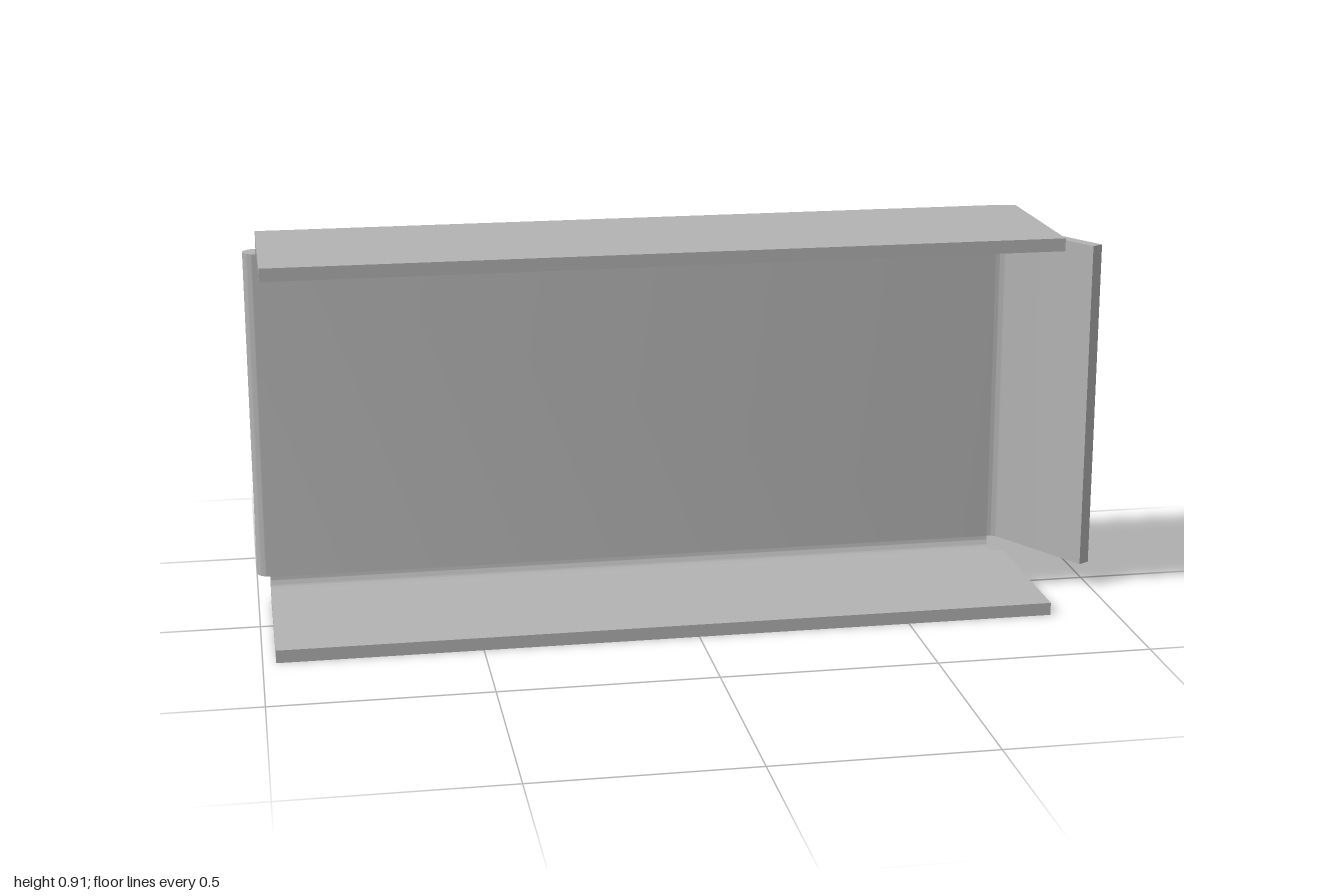
import * as THREE from 'three';
import { toCreasedNormals } from 'three/addons/utils/BufferGeometryUtils.js';

const T = 0.03;            // sheet thickness
const R = 0.03;            // inside bend radius
const H = 0.91;            // overall height
const BACK = 0.21;         // distance of the back face behind the centre
const LEFT = -0.97, RIGHT = 0.81;
const rad = THREE.MathUtils.degToRad;

export function createModel() {
  const group = new THREE.Group();
  const steel = new THREE.MeshStandardMaterial({ color: 0xb3b3b3 });
  steel.name = 'grey steel';

  const add = (name, geometry) => {
    const mesh = new THREE.Mesh(geometry, steel);
    mesh.name = name;
    group.add(mesh);
    return mesh;
  };
  const extrude = (shape, depth) =>
    new THREE.ExtrudeGeometry(shape, { depth, bevelEnabled: false, curveSegments: 16 });

  // Web with angled tab on one end and folded hem on the other (plan outline, y = -z)
  const c = BACK - T - R;
  const a = rad(30), L = 0.271, gap = 0.001;
  const dx = L * Math.sin(a), dy = -L * Math.cos(a);
  const end = (r) => [RIGHT + r * Math.cos(a) + dx, c + r * Math.sin(a) + dy];
  const hemY = BACK + gap;
  const plan = new THREE.Shape();
  plan.moveTo(LEFT, BACK - T);
  plan.lineTo(RIGHT, BACK - T);
  plan.absarc(RIGHT, c, R, Math.PI / 2, a, true);
  plan.lineTo(...end(R));
  plan.lineTo(...end(R + T));
  plan.absarc(RIGHT, c, R + T, a, Math.PI / 2, false);
  plan.lineTo(LEFT, BACK);
  plan.absarc(LEFT, hemY, gap, -Math.PI / 2, -Math.PI * 1.5, true);
  plan.lineTo(-0.88, hemY + gap);
  plan.lineTo(-0.88, hemY + gap + T);
  plan.absarc(LEFT, hemY, gap + T, Math.PI / 2, Math.PI * 1.5, false);
  const web = extrude(plan, H - 2 * (R + T));
  web.rotateX(-Math.PI / 2).translate(0, R + T, 0);
  add('webWithTabAndHem', toCreasedNormals(web, 0.5));

  // Upper and lower flanges, each joined to the web by a quarter bend
  const front = 0.243, flangeRight = 0.845;
  for (const top of [false, true]) {
    const label = top ? 'upper' : 'lower';
    const cy = top ? H - R - T : R + T;
    const a0 = top ? 0 : -Math.PI / 2, a1 = a0 + Math.PI / 2;
    const arc = new THREE.Shape();
    arc.absarc(c, cy, R + T, a0, a1, false);
    arc.absarc(c, cy, R, a1, a0, true);
    const bend = extrude(arc, RIGHT - LEFT);
    bend.rotateY(Math.PI / 2).translate(LEFT, 0, 0);
    add(label + 'Bend', toCreasedNormals(bend, 0.5));

    const plate = add(label + 'Flange', new THREE.BoxGeometry(flangeRight - LEFT, T, front + c));
    plate.position.set((flangeRight + LEFT) / 2, top ? H - T / 2 : T / 2, (front - c) / 2);
  }
  return group;
}
